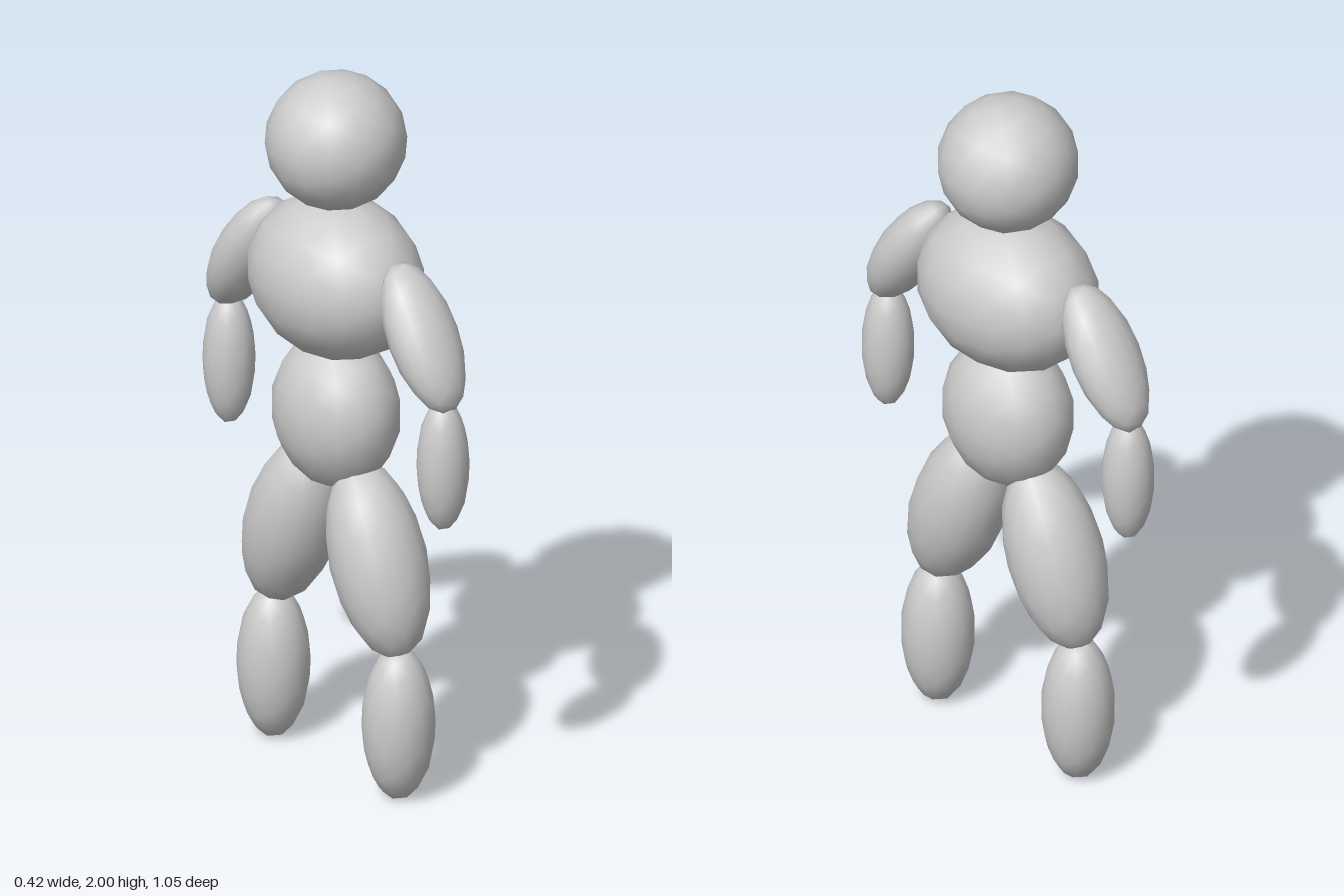
import * as THREE from 'three';

const material = new THREE.MeshStandardMaterial({ color: 0xcccccc });

// Shared coarse ball with smooth normals, enlarged so its flat facets reach the radius
const ball = new THREE.IcosahedronGeometry(1.015, 2);

// Ellipsoid with radii [x, y, z], centred at (0, y, z), tilted about x by degrees
function ellipsoid(name, radii, y, z = 0, tilt = 0) {
  const mesh = new THREE.Mesh(ball, material);
  mesh.name = name;
  mesh.scale.set(...radii);
  mesh.position.set(0, y, z);
  mesh.rotation.x = THREE.MathUtils.degToRad(tilt);
  return mesh;
}

export function createModel() {
  const model = new THREE.Group();
  model.name = 'figure';

  // Head and torso
  model.add(
    ellipsoid('head', [0.188, 0.187, 0.188], 1.813),
    ellipsoid('chest', [0.21, 0.222, 0.272], 1.422),
    ellipsoid('belly', [0.157, 0.215, 0.193], 1.035)
  );

  // Arms and legs, mirrored across the z = 0 plane
  for (const [label, side] of [['front', 1], ['back', -1]]) {
    const arm = new THREE.Group();
    arm.name = label + 'Arm';
    arm.add(
      ellipsoid('upperArm', [0.1, 0.21, 0.08], 1.367, side * 0.373, -side * 32),
      ellipsoid('forearm', [0.07, 0.187, 0.07], 1.03, side * 0.457)
    );

    const leg = new THREE.Group();
    leg.name = label + 'Leg';
    leg.add(
      ellipsoid('thigh', [0.13, 0.27, 0.13], 0.66, side * 0.18, -side * 20),
      ellipsoid('shin', [0.098, 0.217, 0.098], 0.217, side * 0.267)
    );
    model.add(arm, leg);
  }
  return model;
}
